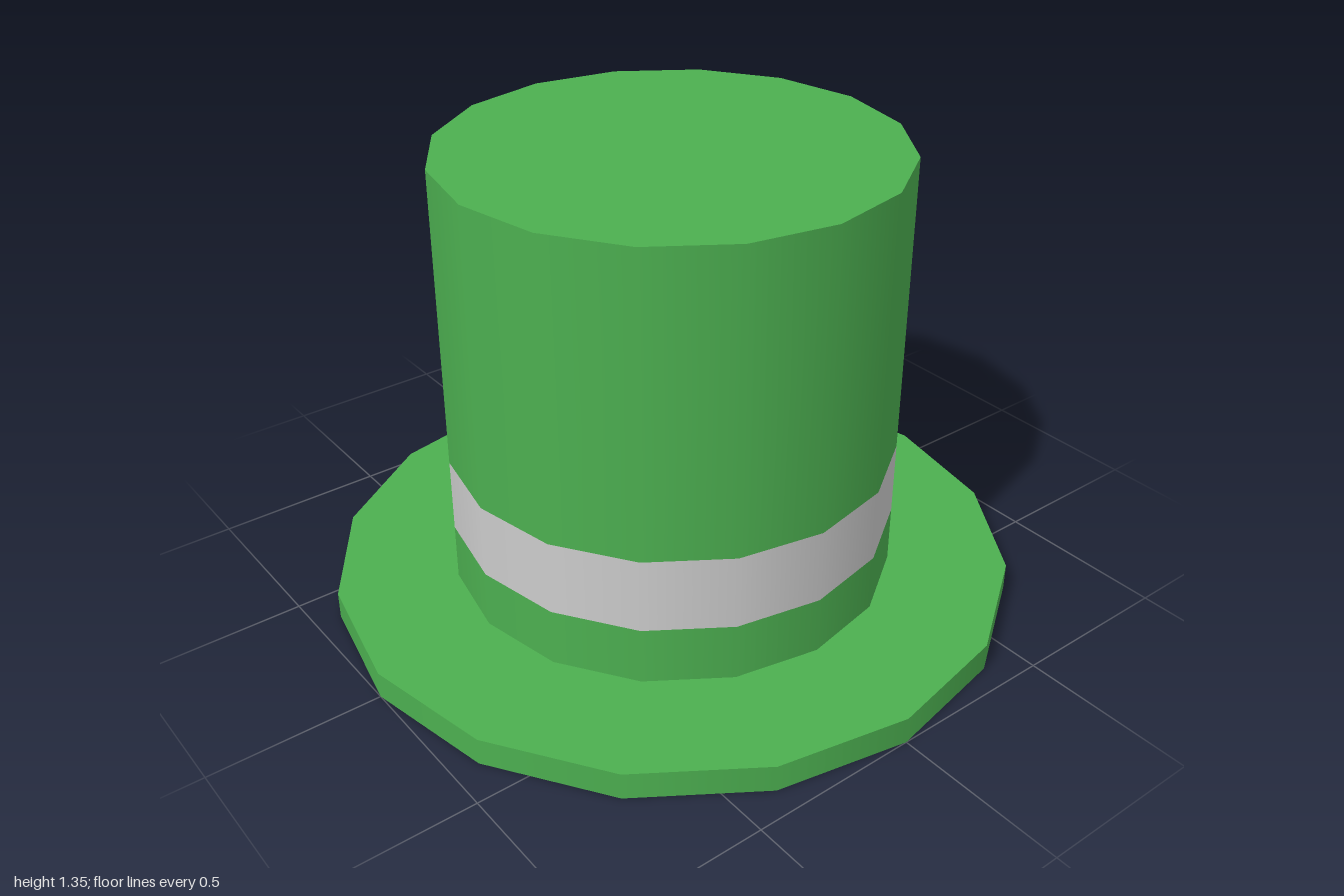
import * as THREE from 'three';

const SIDES = 16;
const CROWN_RADIUS = 0.65;

export function createModel() {
  const hat = new THREE.Group();
  hat.name = 'topHat';

  const felt = new THREE.MeshStandardMaterial({ color: 0x4caf50 });
  const ribbon = new THREE.MeshStandardMaterial({ color: 0xcccccc });

  // Upright 16-sided drum between two heights
  function drum(name, radius, bottom, top, material, open = false) {
    const height = top - bottom;
    const geometry = new THREE.CylinderGeometry(radius, radius, height, SIDES, 1, open);
    geometry.translate(0, bottom + height / 2, 0);
    const mesh = new THREE.Mesh(geometry, material);
    mesh.name = name;
    hat.add(mesh);
  }

  drum('brim', 1, 0, 0.08, felt);

  // Crown wall, with the band set flush into it
  drum('crownBase', CROWN_RADIUS, 0.08, 0.25, felt, true);
  drum('band', CROWN_RADIUS, 0.25, 0.47, ribbon, true);
  drum('crownWall', CROWN_RADIUS, 0.47, 1.35, felt, true);

  // Flat lid closing the crown, corners lined up with the wall
  const lid = new THREE.Mesh(new THREE.CircleGeometry(CROWN_RADIUS, SIDES), felt);
  lid.name = 'crownTop';
  lid.rotation.x = -Math.PI / 2;
  lid.position.y = 1.35;
  hat.add(lid);

  return hat;
}
